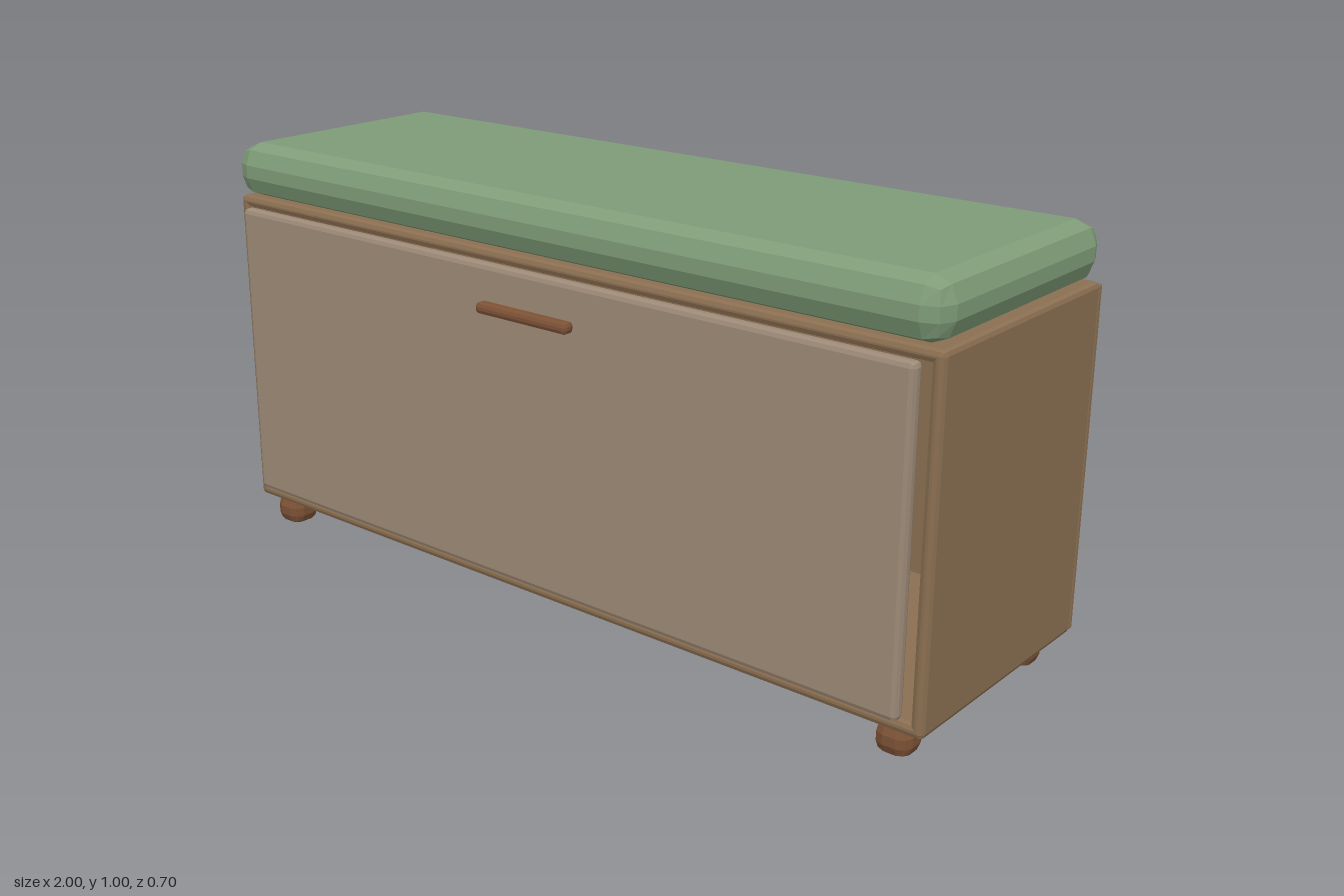
import * as THREE from 'three';
import { RoundedBoxGeometry } from 'three/addons/geometries/RoundedBoxGeometry.js';

const material = (color) => new THREE.MeshStandardMaterial({ color, flatShading: true });

export function createModel() {
  const bench = new THREE.Group();
  bench.name = 'storageBench';

  const wood = material(0x8b6f52);
  const panel = material(0x9d8a77);
  const darkWood = material(0x7d5236);
  const fabric = material(0x7f9c78);

  // Bevelled block given by its [min, max] extents on each axis
  function block(name, x, y, z, bevel, mat) {
    const geometry = new RoundedBoxGeometry(x[1] - x[0], y[1] - y[0], z[1] - z[0], 1, bevel);
    const mesh = new THREE.Mesh(geometry, mat);
    mesh.name = name;
    mesh.position.set((x[0] + x[1]) / 2, (y[0] + y[1]) / 2, (z[0] + z[1]) / 2);
    bench.add(mesh);
    return mesh;
  }

  // Hollow cabinet, open at the front
  block('rightSide', [-0.998, -0.968], [0.07, 0.868], [-0.34, 0.287], 0.012, wood);
  block('leftSide', [0.968, 0.998], [0.07, 0.868], [-0.34, 0.287], 0.012, wood);
  block('topPanel', [-0.998, 0.998], [0.84, 0.868], [-0.34, 0.287], 0.012, wood);
  block('bottomPanel', [-0.998, 0.998], [0.07, 0.1], [-0.34, 0.287], 0.012, wood);
  block('backPanel', [-0.998, 0.998], [0.076, 0.862], [-0.347, -0.33], 0.005, wood);

  // Front flap and its pull
  block('frontDoor', [-0.955, 0.955], [0.108, 0.845], [0.285, 0.319], 0.012, panel);
  block('doorHandle', [-0.132, 0.132], [0.739, 0.766], [0.318, 0.35], 0.01, darkWood);

  // Padded seat
  block('seatCushion', [-0.998, 0.998], [0.868, 1], [-0.347, 0.303], 0.05, fabric);

  // Four stubby feet
  for (const x of [-0.917, 0.917]) {
    for (const z of [-0.264, 0.235]) {
      block('foot', [x - 0.041, x + 0.041], [0, 0.074], [z - 0.041, z + 0.041], 0.026, darkWood);
    }
  }
  return bench;
}
